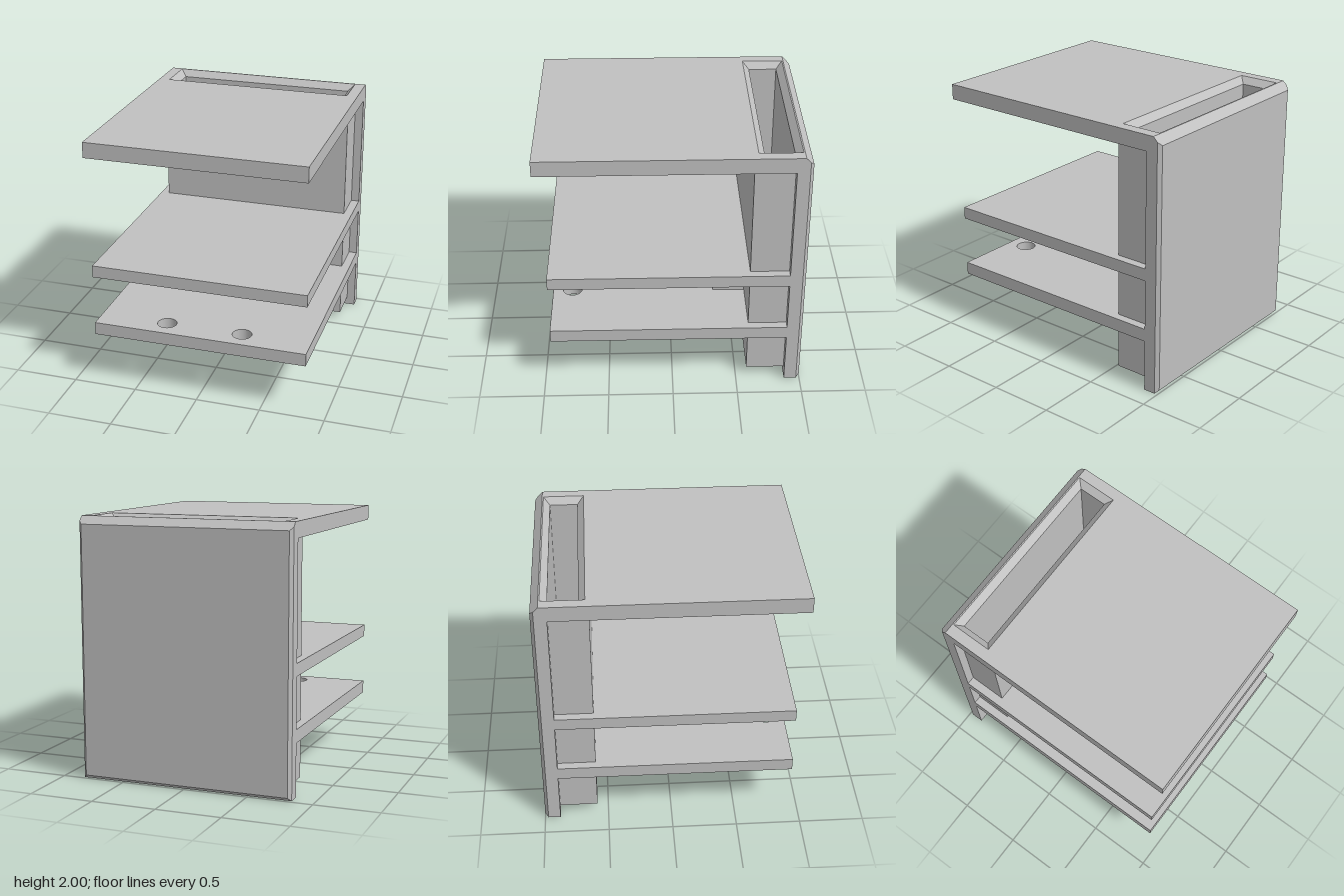
import * as THREE from 'three';
import { ConvexGeometry } from 'three/addons/geometries/ConvexGeometry.js';

const W = 0.835; // half width of panel and shelves
const IN = 0.70; // half width of the pocket cavity

export function createModel() {
  const group = new THREE.Group();
  const grey = new THREE.MeshStandardMaterial({ color: 0xc0c0c0 });
  grey.name = 'plain grey';

  const add = (name, geometry) => {
    const mesh = new THREE.Mesh(geometry, grey);
    mesh.name = name;
    group.add(mesh);
    return mesh;
  };
  const box = (name, x0, x1, y0, y1, z0, z1) => {
    const mesh = add(name, new THREE.BoxGeometry(x1 - x0, y1 - y0, z1 - z0));
    mesh.position.set((x0 + x1) / 2, (y0 + y1) / 2, (z0 + z1) / 2);
  };
  // Convex solid from [half x, y, z] points mirrored across x = 0
  const mirroredHull = (name, pts) => add(name, new ConvexGeometry(
    pts.flatMap(([x, y, z]) => [new THREE.Vector3(x, y, z), new THREE.Vector3(-x, y, z)])));
  // Plan outline [x, z] extruded from y0 up to y1, with round holes [x, z, radius]
  const plate = (name, outline, y0, y1, holes = []) => {
    const shape = new THREE.Shape(outline.map(([x, z]) => new THREE.Vector2(x, z)));
    for (const [x, z, r] of holes) {
      shape.holes.push(new THREE.Path().absarc(x, z, r, 0, Math.PI * 2, true));
    }
    const geo = new THREE.ExtrudeGeometry(shape, { depth: y1 - y0, bevelEnabled: false, curveSegments: 32 });
    add(name, geo.rotateX(Math.PI / 2).translate(0, y1, 0));
  };
  // U-shaped outline that leaves the pocket cavity open
  const uOutline = (xOut, xIn, zBack, zInner, zFront) => [
    [-xOut, zBack], [-xIn, zBack], [-xIn, zInner], [xIn, zInner],
    [xIn, zBack], [xOut, zBack], [xOut, zFront], [-xOut, zFront],
  ];

  // Back panel, chamfered around its rear face and along the pocket mouth
  mirroredHull('backPanel', [
    [W, 0, -0.88], [W, 1.95, -0.88], [W, 2, -0.93], [W, 2, -0.94],
    [W, 1.965, -0.975], [W, 0, -0.975], [0.81, 0.025, -1], [0.81, 1.94, -1],
  ]);

  // Top shelf: main slab plus a strip on each side of the bevelled mouth
  mirroredHull('topShelf', [
    [W, 1.88, -0.66], [W, 1.95, -0.66], [W, 2, -0.61],
    [W, 1.88, 1], [W, 2, 1],
  ]);
  for (const s of [-1, 1]) {
    const pts = [];
    for (const z of [-0.935, -0.55]) {
      for (const [x, y] of [[IN, 1.88], [IN, 1.95], [0.75, 2], [W, 2], [W, 1.88]]) {
        pts.push(new THREE.Vector3(s * x, y, z));
      }
    }
    add(s > 0 ? 'leftMouthStrip' : 'rightMouthStrip', new ConvexGeometry(pts));
  }

  // Deep pocket hanging in front of the panel
  plate('pocketWalls', uOutline(0.77, IN, -0.9, -0.66, -0.585), 0.065, 1.9);
  box('pocketFloor', -0.75, 0.75, 0.065, 0.13, -0.9, -0.6);

  // Lower shelves, the bottom one with two cable holes
  const shelf = uOutline(W, 0.735, -0.9, -0.62, 0.94);
  plate('middleShelf', shelf, 0.895, 0.99);
  plate('bottomShelf', shelf, 0.405, 0.505, [[-0.3, 0.785, 0.075], [0.3, 0.785, 0.075]]);

  // Short dividers between the lower shelves
  for (const s of [-1, 1]) {
    box(s > 0 ? 'leftDivider' : 'rightDivider', s * 0.3 - 0.034, s * 0.3 + 0.034, 0.5, 0.9, -0.62, -0.335);
  }
  return group;
}
